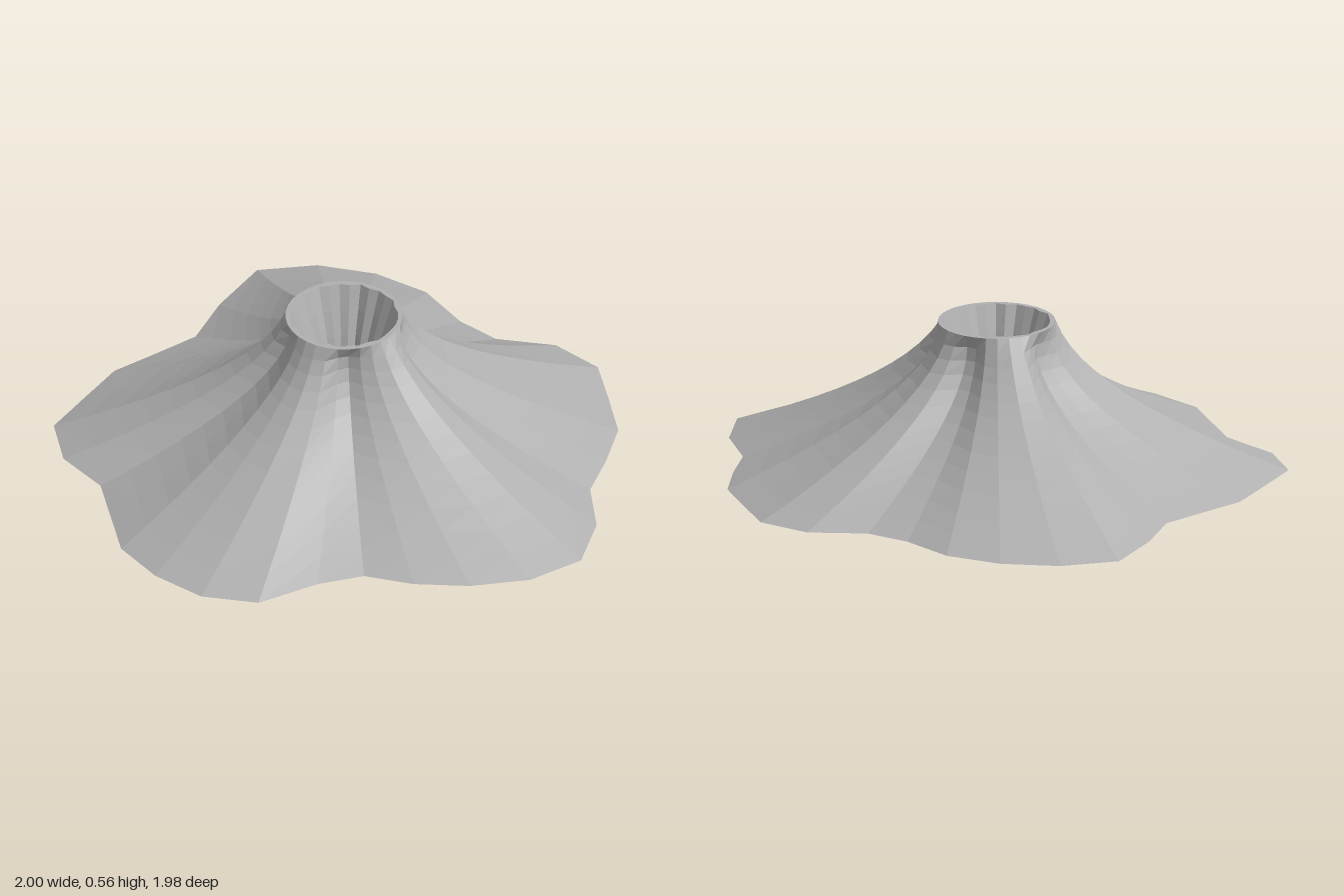
import * as THREE from 'three';

const SEG = 32, HEIGHT = 0.555, RIM = 0.205;
const CX = -0.06, CZ = -0.05;

// Foot radius in each direction, clockwise from the back
const FOOT = [
  0.84, 0.823, 0.947, 0.998, 0.962, 0.96, 0.919, 0.90,
  1.005, 1.079, 1.038, 0.954, 0.87, 0.79, 0.84, 0.993,
  1.037, 1.025, 0.997, 0.92, 0.885, 0.983, 1.019, 0.946,
  0.914, 0.85, 0.827, 0.942, 1.085, 1.075, 1.026, 0.953,
];
const MEAN = FOOT.reduce((a, b) => a + b, 0) / SEG;

// One closed ring of points; radius is a function of the segment index
function ring(y, radius) {
  return FOOT.map((_, i) => {
    const a = (i / SEG) * Math.PI * 2, r = radius(i);
    return [Math.sin(a) * r, y, -Math.cos(a) * r];
  });
}

function facetMesh(name, triangles, material) {
  const geometry = new THREE.BufferGeometry();
  geometry.setAttribute('position', new THREE.Float32BufferAttribute(triangles.flat(), 3));
  geometry.computeVertexNormals();
  const mesh = new THREE.Mesh(geometry, material);
  mesh.name = name;
  return mesh;
}

// Skin between successive rings
function loft(name, rings, material) {
  const tris = [];
  for (let k = 0; k < rings.length - 1; k++) {
    for (let i = 0; i < SEG; i++) {
      const j = (i + 1) % SEG, lo = rings[k], hi = rings[k + 1];
      tris.push(lo[j], lo[i], hi[i], lo[j], hi[i], hi[j]);
    }
  }
  return facetMesh(name, tris, material);
}

// Flat disc filling a ring
function cap(name, points, up, material) {
  const centre = [0, points[0][1], 0], tris = [];
  points.forEach((p, i) => {
    const q = points[(i + 1) % SEG];
    tris.push(centre, ...(up ? [q, p] : [p, q]));
  });
  return facetMesh(name, tris, material);
}

export function createModel() {
  const rock = new THREE.MeshStandardMaterial({ color: 0xb0b0b0, flatShading: true });
  rock.name = 'grey rock';

  // Concave flank whose ridges fade out towards the round rim
  const LEVELS = 12, flank = [];
  for (let k = 0; k <= LEVELS; k++) {
    const t = k / LEVELS, down = 1 - t;
    flank.push(ring(t * HEIGHT, (i) =>
      RIM + (MEAN - RIM) * Math.pow(down, 1.8) + (FOOT[i] - MEAN) * Math.pow(down, 0.65)));
  }

  // Crater lip, uneven wall and floor
  const wobble = (i) => (FOOT[(i * 3) % SEG] - MEAN) * 0.05;
  const rough = (r) => (i) => r + wobble(i);
  const lip = ring(HEIGHT, rough(0.187));
  const wall = [lip, ring(HEIGHT - 0.09, rough(0.156)),
    ring(HEIGHT - 0.18, rough(0.127)), ring(HEIGHT - 0.27, rough(0.102))];

  const group = new THREE.Group();
  group.name = 'volcano';
  group.add(
    loft('mountainFlank', flank, rock),
    loft('craterLip', [flank[LEVELS], lip], rock),
    loft('craterWall', wall, rock),
    cap('craterFloor', wall[wall.length - 1], true, rock),
    cap('underside', flank[0], false, rock),
  );
  group.children.forEach((part) => part.position.set(CX, 0, CZ));
  return group;
}
